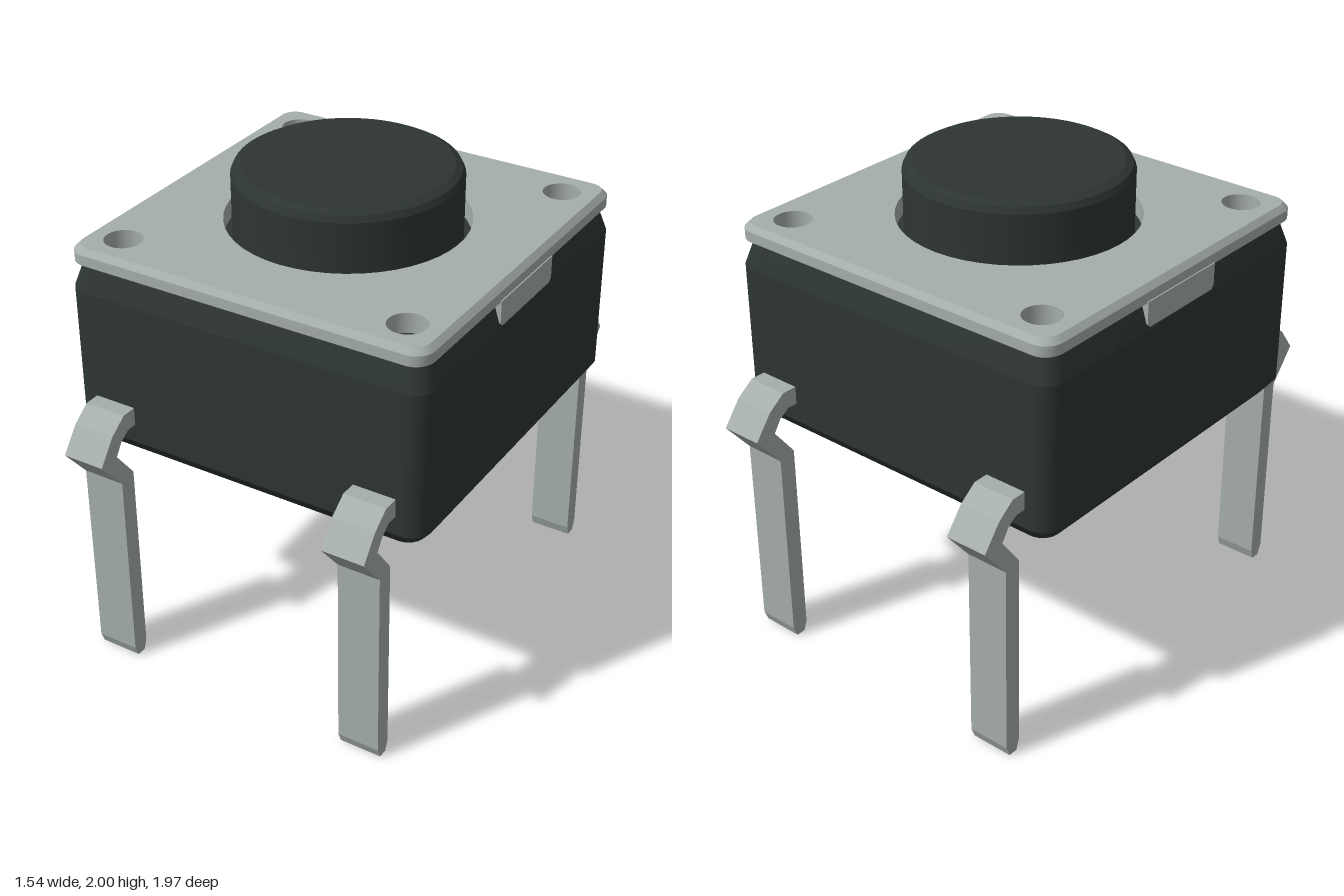
import * as THREE from 'three';
import { toCreasedNormals } from 'three/addons/utils/BufferGeometryUtils.js';

// Outline of a rounded square as [x, z] pairs
function roundedSquare(half, r, steps = 6) {
  const points = [];
  for (let q = 0; q < 4; q++) {
    const mid = Math.PI / 4 + q * Math.PI / 2;
    const cx = Math.sign(Math.cos(mid)) * (half - r);
    const cz = Math.sign(Math.sin(mid)) * (half - r);
    for (let i = 0; i <= steps; i++) {
      const a = (q + i / steps) * Math.PI / 2;
      points.push([cx + r * Math.cos(a), cz + r * Math.sin(a)]);
    }
  }
  return points;
}

// Skin over rounded squares; each level is [y, half width, corner radius]
function loft(levels) {
  const positions = [], index = [];
  const n = roundedSquare(1, 0.1).length;
  levels.forEach(([y, half, r], j) => {
    roundedSquare(half, r).forEach(([x, z], i) => {
      positions.push(x, y, z);
      if (j === levels.length - 1) return;
      const a = j * n + i, b = j * n + (i + 1) % n;
      index.push(a, a + n, b, a + n, b + n, b);
    });
  });
  const g = new THREE.BufferGeometry();
  g.setAttribute('position', new THREE.Float32BufferAttribute(positions, 3));
  g.setIndex(index);
  return toCreasedNormals(g, 0.29);
}

const toShape = (pts) => new THREE.Shape(pts.map(([x, y]) => new THREE.Vector2(x, y)));

export function createModel() {
  const model = new THREE.Group();
  model.name = 'pushButtonSwitch';
  const plastic = new THREE.MeshStandardMaterial({ color: 0x2d3534 });
  plastic.name = 'dark plastic';
  const metal = new THREE.MeshStandardMaterial({ color: 0xa5adad, side: THREE.DoubleSide });
  metal.name = 'grey metal';

  const add = (parent, name, geometry, material) => {
    const mesh = new THREE.Mesh(geometry, material);
    mesh.name = name;
    parent.add(mesh);
    return mesh;
  };

  // Housing with chamfered bottom and tapered shoulder
  add(model, 'housing', loft([
    [0.94, 0, 0], [0.94, 0.725, 0.07], [1.0, 0.77, 0.08],
    [1.6, 0.77, 0.08], [1.695, 0.74, 0.07], [1.695, 0, 0],
  ]), plastic);

  // Cover plate: chamfered rim, pierced top and hole walls
  const cover = new THREE.Group();
  cover.name = 'coverPlate';
  model.add(cover);
  const top = 1.775, low = 1.69;
  add(cover, 'coverRim', loft([
    [low, 0.735, 0.06], [1.71, 0.763, 0.075], [1.752, 0.763, 0.075], [top, 0.742, 0.06],
  ]), metal);
  const face = toShape(roundedSquare(0.742, 0.06));
  const holes = [[0, 0, 0.478]];
  for (const x of [-0.61, 0.61]) for (const z of [-0.61, 0.61]) holes.push([x, z, 0.075]);
  for (const [x, z, r] of holes) {
    face.holes.push(new THREE.Path().absarc(x, -z, r, 0, Math.PI * 2, true));
    const wall = new THREE.CylinderGeometry(r, r, top - low, 48, 1, true);
    add(cover, 'holeWall', wall.translate(x, (top + low) / 2, z), metal);
  }
  const faceGeometry = new THREE.ShapeGeometry(face, 24);
  add(cover, 'coverFace', faceGeometry.rotateX(-Math.PI / 2).translate(0, top, 0), metal);

  // Clips folded down over the left and right shoulders
  const clip = toShape([
    [-0.207, 1.715], [-0.207, 1.625], [-0.192, 1.61],
    [0.192, 1.61], [0.207, 1.625], [0.207, 1.715],
  ]);
  for (const side of [-1, 1]) {
    const g = new THREE.ExtrudeGeometry(clip, { depth: 0.04, bevelEnabled: false });
    g.translate(0, 0, 0.728).rotateY(side * Math.PI / 2);
    add(cover, side > 0 ? 'leftClip' : 'rightClip', g, metal);
  }

  // Round plunger with a softened top edge
  const plunger = [[0.445, 1.68], [0.445, 1.96], [0.433, 1.985], [0.405, 2], [0, 2]];
  const plungerGeometry = new THREE.LatheGeometry(
    plunger.map(([x, y]) => new THREE.Vector2(x, y)), 64);
  add(model, 'plunger', toCreasedNormals(plungerGeometry, 0.4), plastic);

  // Four kinked legs, profile given as [distance from middle, height]
  const legShape = toShape([
    [0.72, 1.155], [0.72, 1.08], [0.815, 1.08], [0.86, 1.05], [0.893, 1.0],
    [0.802, 0.88], [0.802, 0.045], [0.817, 0], [0.857, 0], [0.875, 0.045],
    [0.875, 0.865], [0.987, 1.0], [0.91, 1.1], [0.835, 1.155],
  ]);
  const width = 0.177;
  const legGeometry = new THREE.ExtrudeGeometry(legShape, { depth: width, bevelEnabled: false });
  legGeometry.translate(0, 0, -width / 2).rotateY(-Math.PI / 2);
  for (const x of [-0.577, 0.577]) {
    for (const front of [true, false]) {
      const name = (front ? 'front' : 'back') + (x > 0 ? 'Left' : 'Right') + 'Leg';
      const leg = add(model, name, legGeometry, metal);
      leg.position.x = x;
      leg.rotation.y = front ? 0 : Math.PI;
    }
  }
  return model;
}
